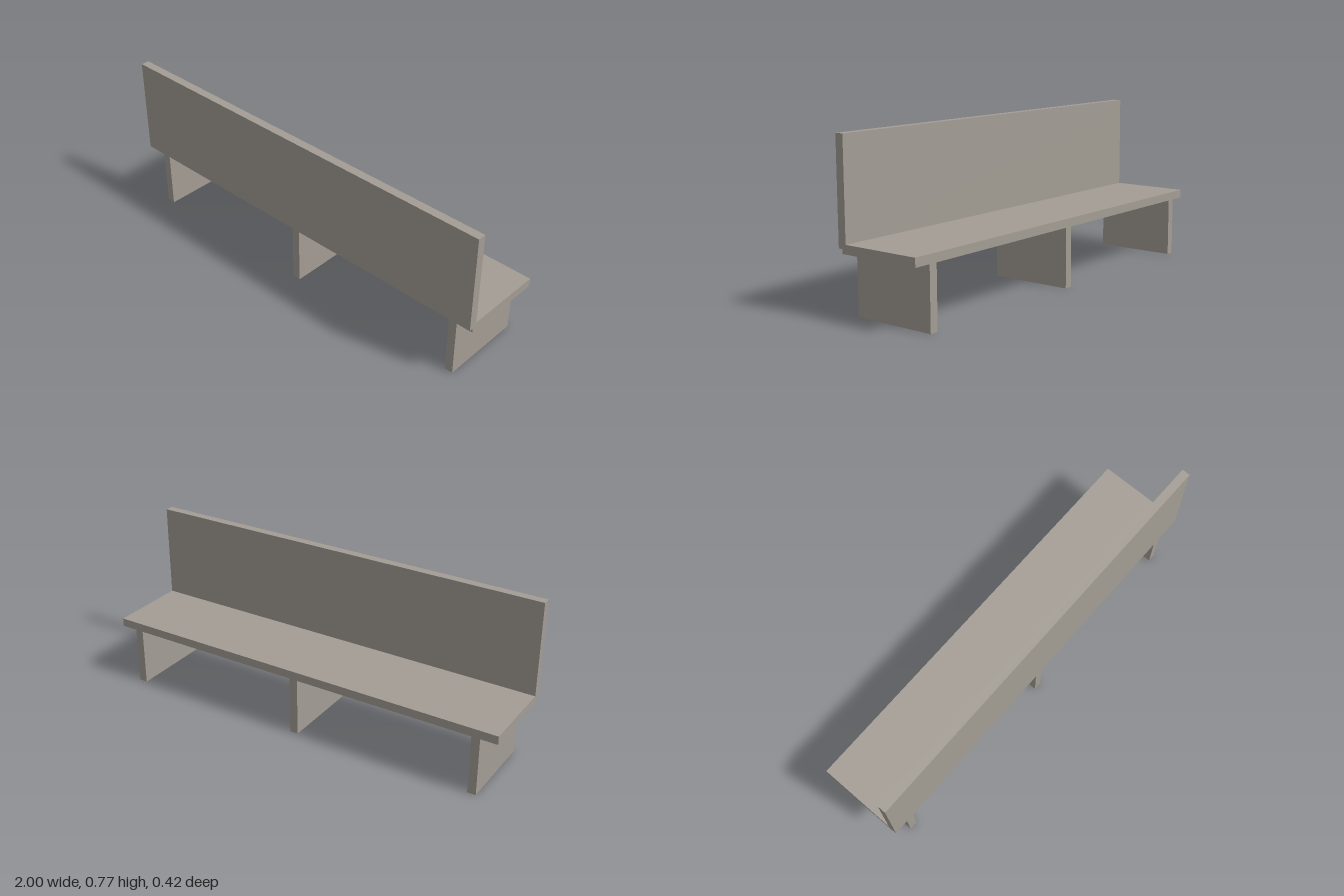
import * as THREE from 'three';

export function createModel() {
  const bench = new THREE.Group();
  bench.name = 'bench';
  const paint = new THREE.MeshStandardMaterial({ color: 0xa39d94 });
  paint.name = 'warm grey';

  // Box panel given by its minimum and maximum corners
  function panel(name, [x0, y0, z0], [x1, y1, z1]) {
    const mesh = new THREE.Mesh(new THREE.BoxGeometry(x1 - x0, y1 - y0, z1 - z0), paint);
    mesh.position.set((x0 + x1) / 2, (y0 + y1) / 2, (z0 + z1) / 2);
    mesh.name = name;
    bench.add(mesh);
  }

  // Seat board and upright back board, lapped at the rear edge
  panel('seat', [-1, 0.28, -0.21], [1, 0.32, 0.19]);
  panel('backrest', [-1, 0.3, 0.17], [1, 0.767, 0.21]);

  // Three slab legs spanning the seat depth
  const legs = { rightLeg: -0.9, middleLeg: 0, leftLeg: 0.9 };
  for (const [name, x] of Object.entries(legs)) {
    panel(name, [x - 0.02, 0, -0.21], [x + 0.02, 0.28, 0.19]);
  }

  return bench;
}
